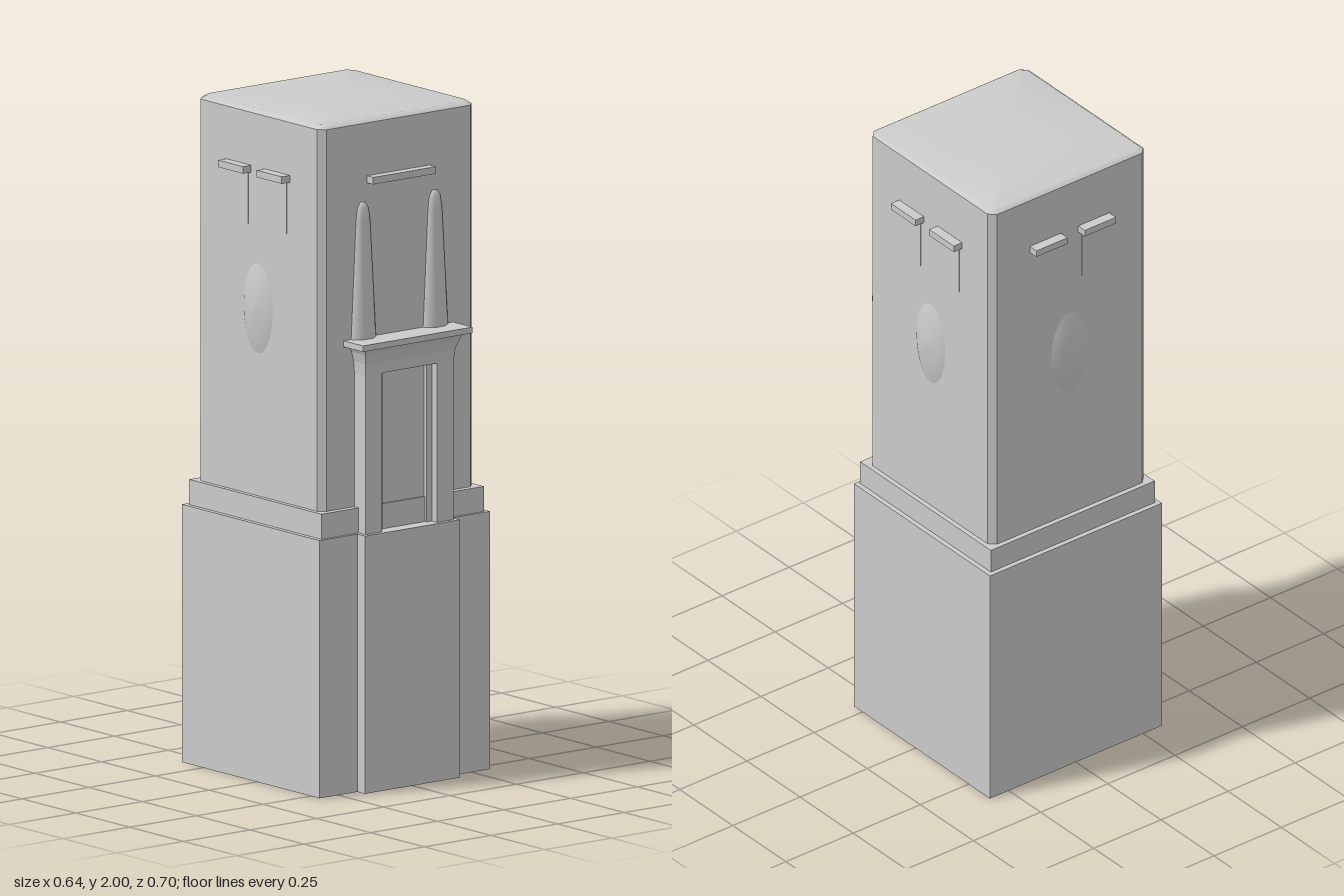
import * as THREE from 'three';
import { mergeVertices } from 'three/addons/utils/BufferGeometryUtils.js';

const grey = new THREE.MeshStandardMaterial({ color: 0xcccccc });
const shell = new THREE.MeshStandardMaterial({ color: 0xcccccc, side: THREE.DoubleSide });

// Rectangle in plan with optional cut corners, running round from the front left
function plan(x, z0, z1, c = 0) {
  if (!c) return [[-x, z1], [x, z1], [x, z0], [-x, z0]];
  return [[-x + c, z1], [x - c, z1], [x, z1 - c], [x, z0 + c],
    [x - c, z0], [-x + c, z0], [-x, z0 + c], [-x, z1 - c]];
}

// Walls between stacked plan outlines [y, points], closed by a lid
function loft(rings, smooth = false) {
  const pos = [];
  const tri = (...v) => v.forEach((p) => pos.push(...p));
  const at = ([y, pts], i) => [pts[i % pts.length][0], y, pts[i % pts.length][1]];
  const n = rings[0][1].length;
  for (let r = 0; r < rings.length - 1; r++) {
    for (let i = 0; i < n; i++) {
      const a = at(rings[r], i), b = at(rings[r], i + 1);
      const c = at(rings[r + 1], i + 1), d = at(rings[r + 1], i);
      tri(a, b, c);
      tri(a, c, d);
    }
  }
  const top = rings[rings.length - 1];
  const mid = [0, top[0], 0];
  top[1].forEach(([x, z]) => { mid[0] += x / n; mid[2] += z / n; });
  for (let i = 0; i < n; i++) tri(at(top, i), at(top, i + 1), mid);
  let g = new THREE.BufferGeometry();
  g.setAttribute('position', new THREE.Float32BufferAttribute(pos, 3));
  if (smooth) g = mergeVertices(g);
  g.computeVertexNormals();
  return g;
}

export function createModel() {
  const model = new THREE.Group();
  const add = (name, geometry, parent = model, material = grey) => {
    const m = new THREE.Mesh(geometry, material);
    m.name = name;
    parent.add(m);
    return m;
  };
  const box = (name, x0, x1, y0, y1, z0, z1, parent = model) =>
    add(name, new THREE.BoxGeometry(x1 - x0, y1 - y0, z1 - z0), parent)
      .position.set((x0 + x1) / 2, (y0 + y1) / 2, (z0 + z1) / 2);

  // Hollow base with a projecting front panel, open underneath
  const basePlan = [[-0.32, 0.29], [-0.178, 0.29], [-0.178, 0.325], [0.178, 0.325],
    [0.178, 0.29], [0.32, 0.29], [0.32, -0.35], [-0.32, -0.35]];
  add('base', loft([[0, basePlan], [0.77, basePlan]]), model, shell);

  // Step and shaft
  const step = plan(0.305, -0.335, 0.28);
  add('step', loft([[0.765, step], [0.845, step]]));
  const shaft = plan(0.29, -0.32, 0.26, 0.02);
  add('shaft', loft([[0.84, shaft], [1.985, shaft]]));

  // Softly rounded roof
  add('roof', loft([
    [1.985, shaft],
    [1.997, plan(0.275, -0.305, 0.245, 0.018)],
    [2, plan(0.13, -0.16, 0.1, 0.01)],
  ], true));

  // Doorway: jambs, stepped reveals, door and lintel
  const doorway = new THREE.Group();
  doorway.name = 'doorway';
  model.add(doorway);
  for (const s of [-1, 1]) {
    const pair = (name, a, b, ...rest) =>
      box(name, Math.min(s * a, s * b), Math.max(s * a, s * b), ...rest, doorway);
    pair('jamb', 0.103, 0.165, 0.765, 1.25, 0.24, 0.312);
    pair('reveal', 0.083, 0.103, 0.765, 1.245, 0.24, 0.288);
  }
  box('door', -0.083, 0.083, 0.765, 1.245, 0.24, 0.275, doorway);
  box('lintel', -0.165, 0.165, 1.245, 1.27, 0.24, 0.312, doorway);

  // Flared cornice with a slab on top
  add('cornice', loft([
    [1.245, plan(0.165, 0.24, 0.312)],
    [1.28, plan(0.168, 0.24, 0.316)],
    [1.31, plan(0.176, 0.24, 0.326)],
    [1.33, plan(0.187, 0.24, 0.336)],
  ]), doorway);
  box('corniceSlab', -0.206, 0.206, 1.328, 1.346, 0.24, 0.35, doorway);

  // Tapering half-round obelisks standing on the slab
  const profile = [[0.046, 1.34], [0.026, 1.7], [0.02, 1.735], [0.01, 1.75], [0, 1.752]]
    .map(([r, y]) => new THREE.Vector2(r, y));
  for (const s of [-1, 1]) {
    const obelisk = add('obelisk', new THREE.LatheGeometry(profile, 8).rotateY(Math.PI / 8));
    obelisk.position.set(s * 0.135, 0, 0.259);
    obelisk.scale.z = 0.67;
  }

  // Front hood
  box('frontHood', -0.118, 0.118, 1.806, 1.827, 0.25, 0.289);

  // Paired hoods, window panes and an oval boss on the other three sides
  const oval = [[1, -0.004], [0.8, 0.005], [0.45, 0.014], [0, 0.019]]
    .map(([r, y]) => new THREE.Vector2(r, y));
  const sides = [
    ['right', 0.29, -0.033, Math.PI / 2],
    ['left', -0.29, -0.033, -Math.PI / 2],
    ['back', 0, -0.32, Math.PI],
  ];
  for (const [name, x, z, turn] of sides) {
    const side = new THREE.Group();
    side.name = name + 'SideDetails';
    side.position.set(x, 0, z);
    side.rotation.y = turn;
    model.add(side);
    for (const s of [-1, 1]) {
      const c = s * 0.09;
      box('hood', c - 0.058, c + 0.058, 1.806, 1.827, -0.01, 0.031, side);
      box('windowPane', c - 0.045, c + 0.045, 1.65, 1.81, -0.01, 0.002, side);
    }
    const boss = add('ovalBoss', new THREE.LatheGeometry(oval, 24).rotateX(Math.PI / 2), side);
    boss.position.y = 1.405;
    boss.scale.set(0.075, 0.147, 1);
  }
  return model;
}
